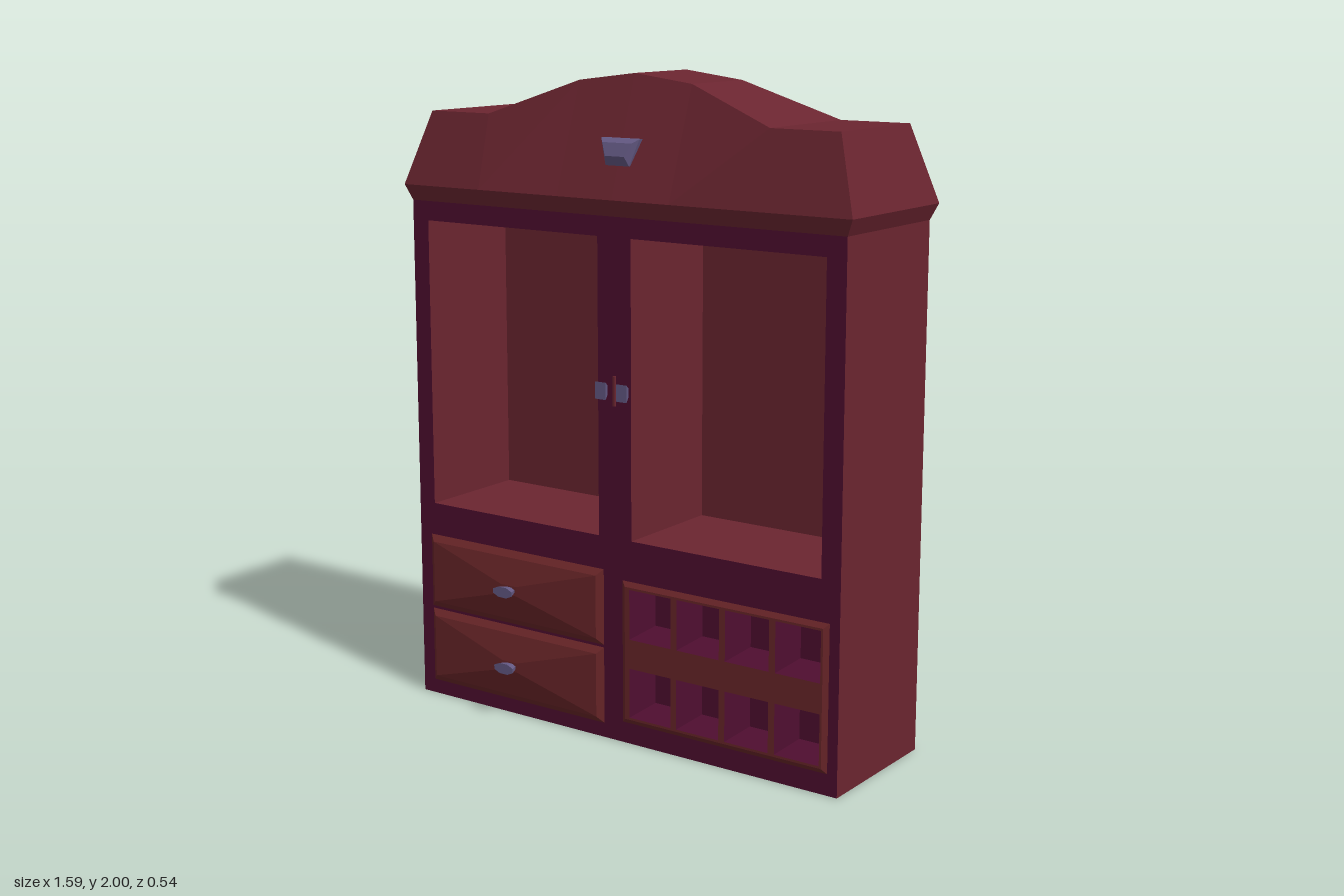
import * as THREE from 'three';

const mat = (name, color) => Object.assign(new THREE.MeshStandardMaterial({ color }), { name });

// Skin a series of equal-length loops with flat faces, optionally capping the ends.
function loft(loops, capStart = false, capEnd = true) {
  const pos = [];
  const quad = (a, b, c, d) => pos.push(...a, ...b, ...c, ...a, ...c, ...d);
  const n = loops[0].length;
  for (let k = 0; k < loops.length - 1; k++) {
    for (let i = 0; i < n; i++) {
      const j = (i + 1) % n;
      quad(loops[k][i], loops[k][j], loops[k + 1][j], loops[k + 1][i]);
    }
  }
  const cap = (p, flip) => {
    for (let i = 0; i < n / 2 - 1; i++) {
      const q = [p[i], p[i + 1], p[n - 2 - i], p[n - 1 - i]];
      quad(...(flip ? q.reverse() : q));
    }
  };
  if (capStart) cap(loops[0], true);
  if (capEnd) cap(loops[loops.length - 1], false);
  const g = new THREE.BufferGeometry();
  g.setAttribute('position', new THREE.Float32BufferAttribute(pos, 3));
  g.computeVertexNormals();
  return g;
}

// Rectangle in the XY plane, counter-clockwise from the front, shrunk by an inset.
const rect = ([x0, x1, y0, y1], z, s = 0) => [
  [x0 + s, y0 + s, z], [x1 - s, y0 + s, z], [x1 - s, y1 - s, z], [x0 + s, y1 - s, z],
];

// Flat rectangular sheet with rectangular holes.
function sheet(outer, holes, z) {
  const trace = (p, r) => p.setFromPoints(rect(r, 0).map(([x, y]) => new THREE.Vector2(x, y)));
  const shape = trace(new THREE.Shape(), outer);
  shape.holes = holes.map((h) => trace(new THREE.Path(), h));
  return new THREE.ShapeGeometry(shape).translate(0, 0, z);
}

export function createModel() {
  const model = new THREE.Group();
  model.name = 'cabinet';
  const red = mat('redWood', 0x6b2530);
  const warm = mat('drawerWood', 0x6b2629);
  const purple = mat('purpleFrame', 0x4f0e30);
  const metal = mat('handleMetal', 0x655a85);
  const add = (name, geometry, material) => {
    const mesh = new THREE.Mesh(geometry, material);
    mesh.name = name;
    model.add(mesh);
    return mesh;
  };

  const FRONT = 0.205, BACK = -0.255;
  const body = [-0.775, 0.775, 0, 1.6];
  const openings = [[-0.715, -0.062, 0.635, 1.535], [0.058, 0.712, 0.635, 1.535]];
  const panel = [0.025, 0.742, 0.065, 0.51];
  const cubbies = [];
  for (const y of [0.087, 0.333]) {
    for (let i = 0; i < 4; i++) {
      const x = 0.057 + i * 0.171;
      cubbies.push([x, x + 0.15, y, y + 0.155]);
    }
  }

  // Carcass and front frame
  add('carcass', loft([rect(body, BACK), rect(body, FRONT)], true, false), red);
  add('frontFrame', sheet(body, [...openings, panel], FRONT), purple);

  // Open compartments
  for (const o of openings) {
    add('compartment', loft([rect(o, FRONT), rect(o, FRONT - 0.37)]), red);
  }

  // Pigeonhole panel with a bevelled rim and tapered cubbies
  const face = FRONT + 0.01;
  const inner = [panel[0] + 0.015, panel[1] - 0.015, panel[2] + 0.015, panel[3] - 0.015];
  add('panelRim', loft([rect(panel, FRONT), rect(inner, face)], false, false), warm);
  add('pigeonholePanel', sheet(inner, cubbies, face), warm);
  for (const c of cubbies) {
    add('cubby', loft([rect(c, face), rect(c, face - 0.11, 0.018)]), purple);
  }

  // Pillowed drawers with flared pulls
  for (const [y0, y1] of [[0.045, 0.286], [0.294, 0.532]]) {
    const d = [-0.73, -0.045, y0, y1];
    const ym = (y0 + y1) / 2;
    const crest = [-0.42, -0.36, ym - 0.015, ym + 0.015];
    add('drawer', loft([rect(d, FRONT), rect(d, 0.22, 0.02), rect(crest, 0.238)]), warm);
    const pull = new THREE.CylinderGeometry(0.04, 0.024, 0.034, 8).toNonIndexed();
    pull.rotateY(Math.PI / 8).rotateX(Math.PI / 2).scale(1, 0.45, 1);
    pull.computeVertexNormals();
    add('drawerPull', pull, metal).position.set(-0.39, ym, 0.251);
  }

  // Paired door pulls either side of a thin seam
  for (const s of [-1, 1]) {
    const x = s * 0.038;
    add('doorPull', loft([
      rect([x - 0.01, x + 0.01, 1.07, 1.096], FRONT - 0.002),
      rect([x - 0.019, x + 0.019, 1.057, 1.109], 0.226),
    ]), metal);
  }
  const seam = add('doorSeam', new THREE.BoxGeometry(0.008, 0.09, 0.008), red);
  seam.position.set(0, 1.083, FRONT + 0.003);

  // Arched crown: a flared moulding that tapers up to a curved top
  const crownLoop = (xEnd, y, zF, zB) => {
    const xs = [-xEnd, -0.5, -0.2, 0, 0.2, 0.5, xEnd];
    return [...xs.map((x) => [x, y, zF]), ...xs.reverse().map((x) => [x, y, zB])];
  };
  const arch = [[-0.725, 1.868, 0], [-0.5, 1.868, 0], [-0.2, 1.975, 0.06], [0, 2, 0.06],
    [0.2, 1.975, 0.06], [0.5, 1.868, 0], [0.725, 1.868, 0]];
  const top = [
    ...arch.map(([x, y, t]) => [x, y, 0.163 - t]),
    ...arch.reverse().map(([x, y, t]) => [x, y, -0.217 + t]),
  ];
  add('crown', loft([
    crownLoop(0.775, 1.595, FRONT, BACK),
    crownLoop(0.797, 1.643, 0.218, -0.268),
    top,
  ]), red);

  // Bevelled keystone on the crown
  const keystone = (wTop, wBottom, y0, y1, z0, z1) => [
    [-wBottom, y0, z0], [wBottom, y0, z0], [wTop, y1, z1], [-wTop, y1, z1],
  ];
  add('keystone', loft([
    keystone(0.068, 0.042, 1.74, 1.818, 0.178, 0.15),
    keystone(0.068, 0.042, 1.74, 1.818, 0.19, 0.175),
    keystone(0.052, 0.034, 1.768, 1.806, 0.204, 0.192),
  ]), metal);

  return model;
}
